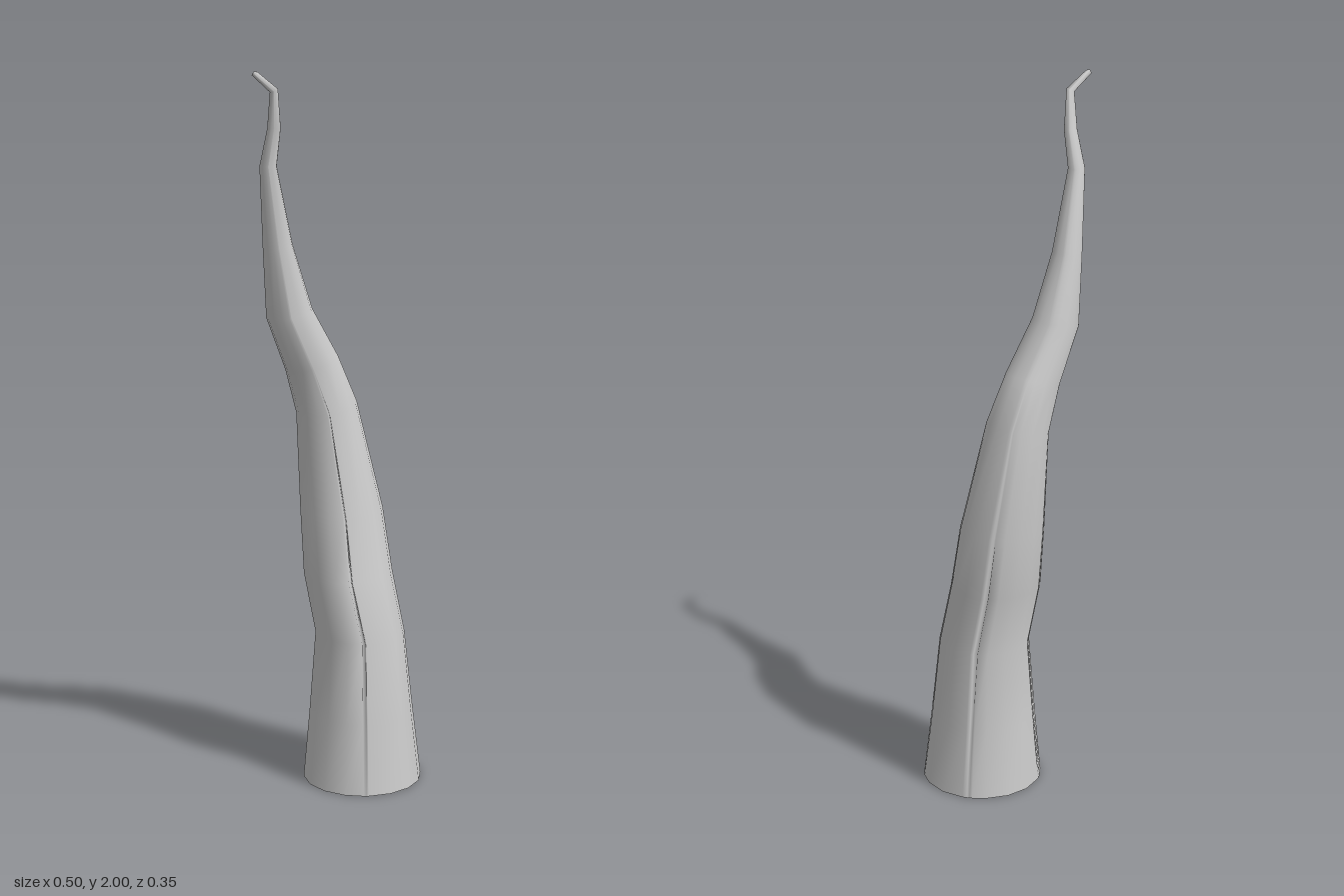
import * as THREE from 'three';

// Cross-sections from base to tip: height, x min, x max, z min, z max, tilt, crease depth
const RINGS = [
  [0.00, -0.085, 0.252, -0.158, 0.177, 0, 0],
  [0.20, -0.066, 0.228, -0.142, 0.156, 0, 0.05],
  [0.43, -0.045, 0.205, -0.131, 0.131, 0, 0.13],
  [0.60, -0.070, 0.181, -0.148, 0.098, 0, 0.15],
  [0.78, -0.065, 0.167, -0.174, 0.060, 0, 0.06],
  [1.07, -0.070, 0.097, -0.164, 0.012, 0.2, 0],
  [1.20, -0.109, 0.038, -0.141, 0.001, 0.25, 0],
  [1.345, -0.172, -0.047, -0.122, 0.007, 0.2, 0],
  [1.53, -0.186, -0.106, -0.094, -0.009, 0.1, 0],
  [1.75, -0.211, -0.165, -0.043, 0.001, 0, 0],
  [1.85, -0.196, -0.160, -0.021, 0.012, 0, 0],
  [1.95, -0.202, -0.180, 0.014, 0.032, 0.4, 0],
  [1.995, -0.253, -0.238, 0.015, 0.028, 0.6, 0],
];

// Sixteen sides, plus three narrow columns for every bark-like crease
const CREASES = [114, 18, -52, -140];
const columns = [];
for (let i = 0; i < 16; i++) columns.push({ angle: i * 22.5, dent: 0 });
for (const c of CREASES) {
  const a = (c + 360) % 360;
  columns.push({ angle: a - 2.5, dent: 0 }, { angle: a, dent: 1 }, { angle: a + 2.5, dent: 0 });
}
columns.sort((p, q) => p.angle - q.angle);

function ringPoints([y, x0, x1, z0, z1, tilt, depth]) {
  return columns.map(({ angle, dent }) => {
    const a = THREE.MathUtils.degToRad(angle);
    const k = 1 - dent * depth;
    const dx = Math.cos(a) * k * (x1 - x0) / 2;
    const dz = Math.sin(a) * k * (z1 - z0) / 2;
    return new THREE.Vector3((x0 + x1) / 2 + dx, y + tilt * dx, (z0 + z1) / 2 + dz);
  });
}

function createHorn() {
  const n = columns.length;
  const points = RINGS.flatMap(ringPoints);
  const index = [];
  for (let r = 0; r < RINGS.length - 1; r++) {
    for (let i = 0; i < n; i++) {
      const a = r * n + i, b = r * n + (i + 1) % n;
      index.push(a, a + n, b, b, a + n, b + n);
    }
  }
  // Close the tip
  const last = (RINGS.length - 1) * n;
  points.push(new THREE.Vector3(-0.248, 2, 0.021));
  for (let i = 0; i < n; i++) index.push(last + i, points.length - 1, last + (i + 1) % n);

  const geometry = new THREE.BufferGeometry().setFromPoints(points);
  geometry.setIndex(index);
  geometry.computeVertexNormals();
  return geometry;
}

export function createModel() {
  const group = new THREE.Group();
  group.name = 'twistedHorn';
  const material = new THREE.MeshStandardMaterial({ color: 0xcccccc });

  // Curved tapering body
  const horn = new THREE.Mesh(createHorn(), material);
  horn.name = 'hornBody';
  group.add(horn);

  // Flat base facing down
  const outline = ringPoints(RINGS[0]).map((p) => new THREE.Vector2(p.x, p.z));
  const baseGeometry = new THREE.ShapeGeometry(new THREE.Shape(outline));
  baseGeometry.rotateX(Math.PI / 2);
  const base = new THREE.Mesh(baseGeometry, material);
  base.name = 'hornBase';
  group.add(base);

  return group;
}
